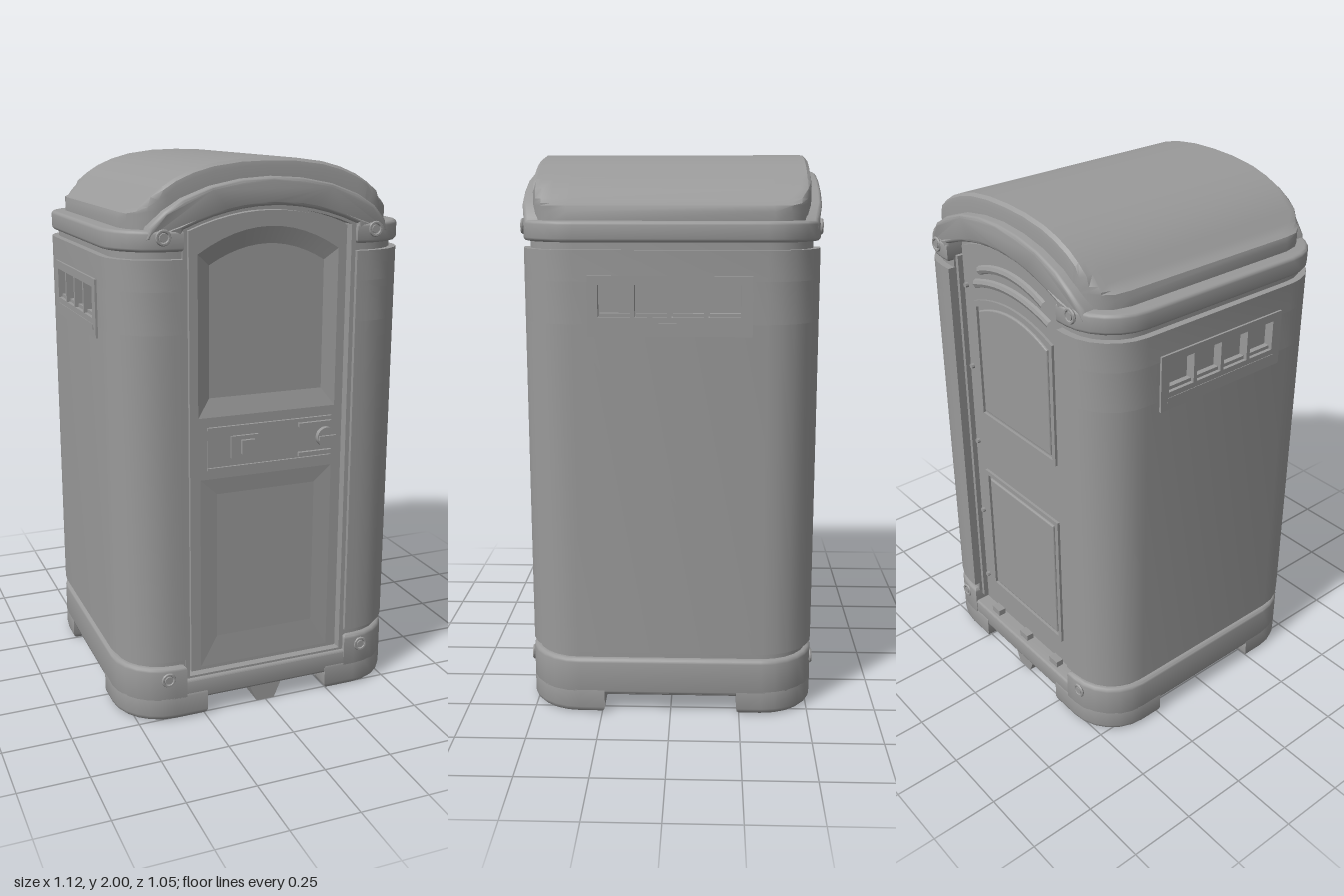
import * as THREE from 'three';
import { toCreasedNormals } from 'three/addons/utils/BufferGeometryUtils.js';

const V = (x, y) => new THREE.Vector2(x, y);
const W = 0.552, D = 0.52, R = 0.19; // plan half width, half depth, corner radius

export function createModel() {
  const root = new THREE.Group();
  const mat = new THREE.MeshStandardMaterial({ color: 0x9a9a9a });
  const matDouble = new THREE.MeshStandardMaterial({ color: 0x9a9a9a, side: THREE.DoubleSide });

  const add = (name, geo, x = 0, y = 0, z = 0, parent = root, m = mat, crease = 0.6) => {
    const mesh = new THREE.Mesh(toCreasedNormals(geo, crease), m);
    mesh.name = name;
    mesh.position.set(x, y, z);
    parent.add(mesh);
  };
  const box = (name, w, h, d, x, y, z, parent) =>
    add(name, new THREE.BoxGeometry(w, h, d), x, y, z, parent);
  const extrude = (shape, depth, b = 0) => new THREE.ExtrudeGeometry(shape, {
    depth: depth - 2 * b, bevelEnabled: b > 0, bevelThickness: b, bevelSize: b,
    bevelOffset: -b, bevelSegments: 3, curveSegments: 6,
  }).translate(0, 0, b);
  // Plan shape extruded upwards from y0 to y1
  const rise = (name, shape, y0, y1, b) =>
    add(name, extrude(shape, y1 - y0, b).rotateX(-Math.PI / 2), 0, y0);

  // Points round a plan corner, from the side face to the front face
  const corner = (sx, sz, inset, reverse) => {
    const pts = [];
    for (let i = 0; i <= 6; i++) {
      const a = i / 6 * Math.PI / 2, r = R - inset;
      pts.push(V(sx * (W - R + r * Math.cos(a)), sz * (D - R + r * Math.sin(a))));
    }
    return reverse ? pts.reverse() : pts;
  };
  // One side of the cabin in plan, with an optional notch for the vent
  const sideShape = (s, inset, notch = false) => new THREE.Shape([
    V(s * 0.32, -D + inset), ...corner(s, -1, inset, true),
    ...(notch ? [V(s * W, -0.25), V(s * (W - 0.03), -0.25), V(s * (W - 0.03), 0.25), V(s * W, 0.25)] : []),
    ...corner(s, 1, inset), V(s * 0.32, D - inset),
  ]);
  // Panel outline with a bowed top edge
  const panel = (hw, y0, ySide, yTop, n = 12) => {
    const pts = [V(-hw, y0), V(hw, y0)];
    for (let i = 0; i <= n; i++) {
      const t = 1 - 2 * i / n;
      pts.push(V(hw * t, yTop - (yTop - ySide) * t * t));
    }
    return pts;
  };
  const shapeOf = (outer, ...holes) => {
    const s = new THREE.Shape(outer);
    s.holes = holes.map(h => new THREE.Path(h));
    return s;
  };
  // Sloping rim from outer to inner outline, closed by a flat inner face
  const dish = (outer, inner, z0, z1) => {
    const n = outer.length, idx = [];
    const pos = [...outer.flatMap(p => [p.x, p.y, z0]), ...inner.flatMap(p => [p.x, p.y, z1])];
    for (let i = 0; i < n; i++) {
      const j = (i + 1) % n;
      idx.push(i, j, n + j, i, n + j, n + i);
    }
    THREE.ShapeUtils.triangulateShape(inner, []).forEach(f => idx.push(...f.map(k => k + n)));
    const g = new THREE.BufferGeometry();
    g.setAttribute('position', new THREE.Float32BufferAttribute(pos, 3));
    g.setIndex(idx);
    return g;
  };

  // Cabin sides: base, wall, collar and the narrower strips between them
  for (const s of [1, -1]) {
    const side = s > 0 ? 'left' : 'right';
    rise(side + 'Base', sideShape(s, 0), 0.07, 0.21, 0.015);
    rise(side + 'LowerGroove', sideShape(s, 0.02), 0.15, 0.26);
    rise(side + 'WallLower', sideShape(s, 0), 0.235, 1.43);
    rise(side + 'WallVentRow', sideShape(s, 0, true), 1.43, 1.575);
    rise(side + 'WallUpper', sideShape(s, 0), 1.575, 1.68);
    rise(side + 'UpperGroove', sideShape(s, 0.025), 1.65, 1.74);
    rise(side + 'Collar', sideShape(s, 0), 1.705, 1.775, 0.012);

    for (const t of [1, -1]) {
      // Corner feet
      const foot = new THREE.Shape([
        V(s * 0.24, t * D), V(s * 0.24, t * 0.43), V(s * 0.29, t * 0.38), V(s * 0.38, t * 0.29), V(s * 0.44, t * 0.24),
        V(s * W, t * 0.24), ...corner(s, t, 0),
      ]);
      rise(side + 'Foot', foot, 0, 0.11, 0.022);
      // Corner bolts on the base and collar
      for (const y of [0.165, 1.753]) {
        add('boltRing', new THREE.TorusGeometry(0.022, 0.006, 6, 16), s * 0.39, y, t * 0.518);
        add('boltHead', new THREE.CylinderGeometry(0.014, 0.014, 0.03, 12).rotateX(Math.PI / 2), s * 0.39, y, t * 0.508);
      }
    }

    // Side vent: frame round four openings above a sill
    const vent = new THREE.Group();
    vent.name = side + 'Vent';
    root.add(vent);
    const rect = (x0, x1, y0, y1) => [V(x0, y0), V(x1, y0), V(x1, y1), V(x0, y1)];
    const holes = [0, 1, 2, 3].map(i => rect(-0.245 + i * 0.125, -0.135 + i * 0.125, 1.455, 1.565));
    add('ventFrame', extrude(shapeOf(rect(-0.28, 0.28, 1.39, 1.595), ...holes), 0.035)
      .rotateY(s * Math.PI / 2), s > 0 ? W - 0.027 : 0.027 - W, 0, 0, vent);
    box('ventSill', 0.008, 0.02, 0.5, s * (W + 0.006), 1.425, 0, vent);
    for (let i = 0; i < 4; i++) {
      box('ventLedge', 0.02, 0.015, 0.11, s * (W - 0.015), 1.46, -0.19 + i * 0.125, vent);
    }
  }

  // Floor pan and centre skid
  const plan = new THREE.Shape([
    ...corner(1, 1, 0.002), ...corner(-1, 1, 0.002, true), ...corner(-1, -1, 0.002), ...corner(1, -1, 0.002, true),
  ]);
  rise('floorPan', plan, 0.07, 0.15, 0.008);
  add('centreSkid', extrude(new THREE.Shape([V(-0.035, 0), V(0.035, 0), V(0.07, 0.08), V(-0.07, 0.08)]), 1.0), 0, 0, -0.5);

  // Inner core closing the doorway front and back
  add('core', extrude(new THREE.Shape(panel(0.34, 0.1, 1.78, 1.85)), 0.91), 0, 0, -0.455);

  // Arched brow over both ends, its feet following the rounded plan corners
  const brow = [V(0.32, 1.74), V(0.45, 1.74), V(0.435, 1.785), V(0.385, 1.835), V(0.32, 1.875), V(0.22, 1.912), V(0.11, 1.933), V(0, 1.94)];
  const browOutline = [...brow, ...brow.slice(0, -1).reverse().map(p => V(-p.x, p.y)),
    ...panel(0.32, 1.74, 1.775, 1.845).slice(2).reverse()];
  const browGeo = extrude(new THREE.Shape(browOutline), 2 * D, 0.012).translate(0, 0, -D);
  const bp = browGeo.attributes.position;
  for (let i = 0; i < bp.count; i++) {
    const e = Math.max(0, Math.abs(bp.getX(i)) - (W - R));
    bp.setZ(i, bp.getZ(i) * (D - R + Math.sqrt(R * R - e * e)) / D);
  }
  add('archedBrow', browGeo);

  // Roof: one arch profile swept front to back, clipped to rounded corners
  const half = [[0.495, 1.77], [0.495, 1.805], [0.488, 1.825], [0.465, 1.833], [0.445, 1.848], [0.415, 1.88],
    [0.375, 1.912], [0.33, 1.94], [0.27, 1.965], [0.2, 1.984], [0.1, 1.997], [0, 2]];
  const arch = [...half.map(([x, y]) => [-x, y]), ...half.slice(0, -1).reverse()];
  const rows = [[0.483, 0.09], [0.483, 0.025], [0.48, 0.01], [0.468, 0], [0.445, 0], [0.41, 0], [0.353, 0]];
  const allRows = [...rows, ...rows.slice().reverse().map(([z, d]) => [-z, d])];
  const pos = [], idx = [], n = arch.length;
  allRows.forEach(([z, drop], j) => {
    const e = Math.max(0, Math.abs(z) - 0.353);
    const w = 0.365 + Math.sqrt(Math.max(0, 0.13 ** 2 - e * e));
    arch.forEach(([x, y], i) => {
      pos.push(THREE.MathUtils.clamp(x, -w, w), Math.max(1.77, y - drop), z);
      if (i && j) {
        const a = (j - 1) * n + i - 1, b = j * n + i - 1;
        idx.push(a, a + 1, b, a + 1, b + 1, b);
      }
    });
  });
  const roof = new THREE.BufferGeometry();
  roof.setAttribute('position', new THREE.Float32BufferAttribute(pos, 3));
  roof.setIndex(idx);
  add('roof', roof, 0, 0, 0, root, matDouble);

  // Front door with sunken upper and lower panels
  const door = new THREE.Group();
  door.name = 'frontDoor';
  root.add(door);
  const upper = panel(0.262, 1.125, 1.69, 1.775), upperIn = panel(0.215, 1.19, 1.65, 1.715);
  const lower = panel(0.255, 0.18, 0.9, 0.9), lowerIn = panel(0.19, 0.29, 0.84, 0.84);
  add('doorLeaf', extrude(shapeOf(panel(0.293, 0.167, 1.768, 1.828), upper, lower), 0.05), 0, 0, 0.44, door);
  add('upperPanel', dish(upper, upperIn, 0.49, 0.472), 0, 0, 0, door, matDouble, 0.12);
  add('lowerPanel', dish(lower, lowerIn, 0.49, 0.484), 0, 0, 0, door, matDouble, 0.05);
  add('doorFrame', extrude(shapeOf(panel(0.32, 0.145, 1.775, 1.845), panel(0.304, 0.158, 1.772, 1.835)), 0.065), 0, 0, 0.44, door);

  // Lock strip, occupancy plate and turn knob
  for (const y of [0.938, 1.085]) box('lockStripRib', 0.48, 0.01, 0.016, 0.01, y, 0.492, door);
  box('lockStrip', 0.48, 0.14, 0.006, 0.01, 1.012, 0.489, door);
  box('latchPlate', 0.105, 0.08, 0.024, -0.09, 1.012, 0.49, door);
  box('latchPull', 0.05, 0.05, 0.024, -0.082, 1.012, 0.502, door);
  for (const y of [0.957, 1.066]) box('lockBar', 0.13, 0.014, 0.018, 0.183, y, 0.496, door);
  add('knob', new THREE.CylinderGeometry(0.037, 0.037, 0.025, 20).rotateX(Math.PI / 2), 0.226, 1.012, 0.498, door);
  box('knobGrip', 0.066, 0.016, 0.014, 0.226, 1.012, 0.513, door);

  // Back panel with two framed raised fields, arched louvres and fixings
  const back = new THREE.Group();
  back.name = 'backPanel';
  back.rotation.y = Math.PI;
  root.add(back);
  add('backSheet', extrude(new THREE.Shape(panel(0.3, 0.165, 1.765, 1.825)), 0.03), 0, 0, 0.44, back);
  for (const [y0, ys, yt] of [[1.1, 1.575, 1.625], [0.28, 0.85, 0.85]]) {
    add('fieldFrame', extrude(shapeOf(panel(0.235, y0, ys, yt), panel(0.217, y0 + 0.018, ys - 0.018, yt - 0.018)), 0.015), 0, 0, 0.465, back);
    add('raisedField', extrude(new THREE.Shape(panel(0.205, y0 + 0.03, ys - 0.03, yt - 0.03)), 0.015, 0.006), 0, 0, 0.464, back, mat, 0.2);
  }
  for (const y of [1.675, 1.735]) {
    const hw = 0.22 - (y - 1.675) * 0.5;
    const rib = new THREE.QuadraticBezierCurve3(
      new THREE.Vector3(-hw, y - 0.03, 0.468), new THREE.Vector3(0, y + 0.05, 0.468), new THREE.Vector3(hw, y - 0.03, 0.468));
    add('louvre', new THREE.TubeGeometry(rib, 16, 0.017, 8), 0, 0, 0, back);
  }
  for (const s of [1, -1]) {
    box('edgeRail', 0.015, 1.55, 0.045, s * 0.312, 0.95, 0.465, back);
    for (let i = 0; i < 5; i++) {
      add('fixing', new THREE.CylinderGeometry(0.01, 0.01, 0.02, 8).rotateX(Math.PI / 2), s * 0.28, 0.3 + i * 0.33, 0.472, back);
    }
  }
  for (const x of [-0.2, 0, 0.2]) box('thresholdCleat', 0.05, 0.03, 0.03, x, 0.16, 0.485, back);

  return root;
}
